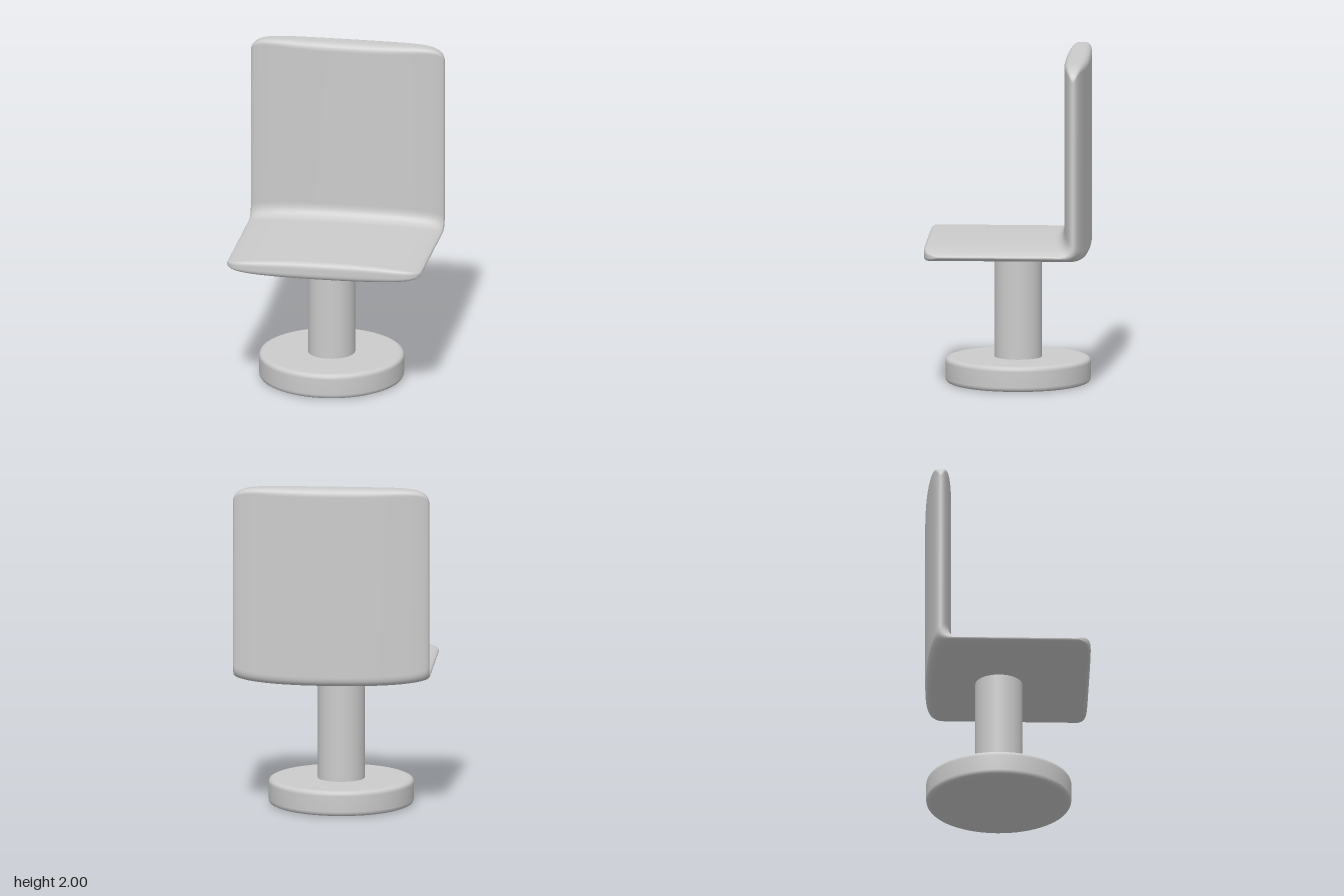
import * as THREE from 'three';

const material = new THREE.MeshStandardMaterial({ color: 0xcccccc });
const HALF_WIDTH = 0.59;
const COLUMNS = 56;
const ARC_STEPS = 8;

// L-shaped side outline at x: thickness fades to nothing at the edges, ends round off
function shellOutline(x) {
  const u = Math.min(1, Math.abs(x) / HALF_WIDTH);
  const k = Math.pow(1 - Math.pow(u, 2.3), 1 / 2.3);
  const inset = 0.09 * (1 - Math.sqrt(1 - Math.pow(u, 10)));
  const hs = 0.054 * k, hb = 0.074 * k;
  const front = 0.49 - inset, top = 2 - inset;
  const seatY = 0.845, backZ = -0.415;
  // corners as [z, y, rounding]
  const corners = [
    [front, seatY - hs, 0.04 * k],
    [backZ - hb, seatY - hs, 0.075 - 0.015 * k],
    [backZ - hb, top, 0.05 * k],
    [backZ + hb, top, 0.05 * k],
    [backZ + hb, seatY + hs, 0.075 + 0.015 * k],
    [front, seatY + hs, 0.04 * k],
  ].map(([z, y, r]) => ({ p: new THREE.Vector2(z, y), r }));
  const points = [];
  corners.forEach(({ p, r }, i) => {
    const prev = corners[(i + 5) % 6].p, next = corners[(i + 1) % 6].p;
    const a = prev.clone().sub(p).normalize().multiplyScalar(r).add(p);
    const b = next.clone().sub(p).normalize().multiplyScalar(r).add(p);
    points.push(...new THREE.QuadraticBezierCurve(a, p, b).getPoints(ARC_STEPS));
  });
  return points;
}

// Seat and back in one piece, lofted across the width
function shellGeometry() {
  const positions = [], index = [];
  let n = 0;
  for (let i = 0; i <= COLUMNS; i++) {
    const x = HALF_WIDTH * Math.sin((i / COLUMNS - 0.5) * Math.PI);
    const outline = shellOutline(x);
    n = outline.length;
    for (const p of outline) positions.push(x, p.y, p.x);
  }
  for (let i = 0; i < COLUMNS; i++) {
    for (let j = 0; j < n; j++) {
      const a = i * n + j, b = i * n + (j + 1) % n;
      index.push(a, b, a + n, b, b + n, a + n);
    }
  }
  const g = new THREE.BufferGeometry();
  g.setAttribute('position', new THREE.Float32BufferAttribute(positions, 3));
  g.setIndex(index);
  g.computeVertexNormals();
  return g;
}

function add(group, name, geometry, x = 0, y = 0, z = 0) {
  const mesh = new THREE.Mesh(geometry, material);
  mesh.name = name;
  mesh.position.set(x, y, z);
  group.add(mesh);
}

export function createModel() {
  const group = new THREE.Group();
  group.name = 'pedestalChair';

  add(group, 'seatAndBack', shellGeometry());

  // Pedestal sits slightly off centre
  const px = -0.035, pz = -0.052;
  add(group, 'post', new THREE.CylinderGeometry(0.142, 0.142, 0.72, 48, 1, true), px, 0.48, pz);

  // Round foot with softened rims
  const foot = [
    [0, 0], [0.4, 0], [0.415, 0.002], [0.428, 0.008], [0.434, 0.018], [0.436, 0.03],
    [0.436, 0.125], [0.434, 0.137], [0.428, 0.147], [0.415, 0.153], [0.4, 0.155], [0, 0.155],
  ].map(([r, y]) => new THREE.Vector2(r, y));
  add(group, 'footDisc', new THREE.LatheGeometry(foot, 64), px, 0, pz);

  return group;
}
